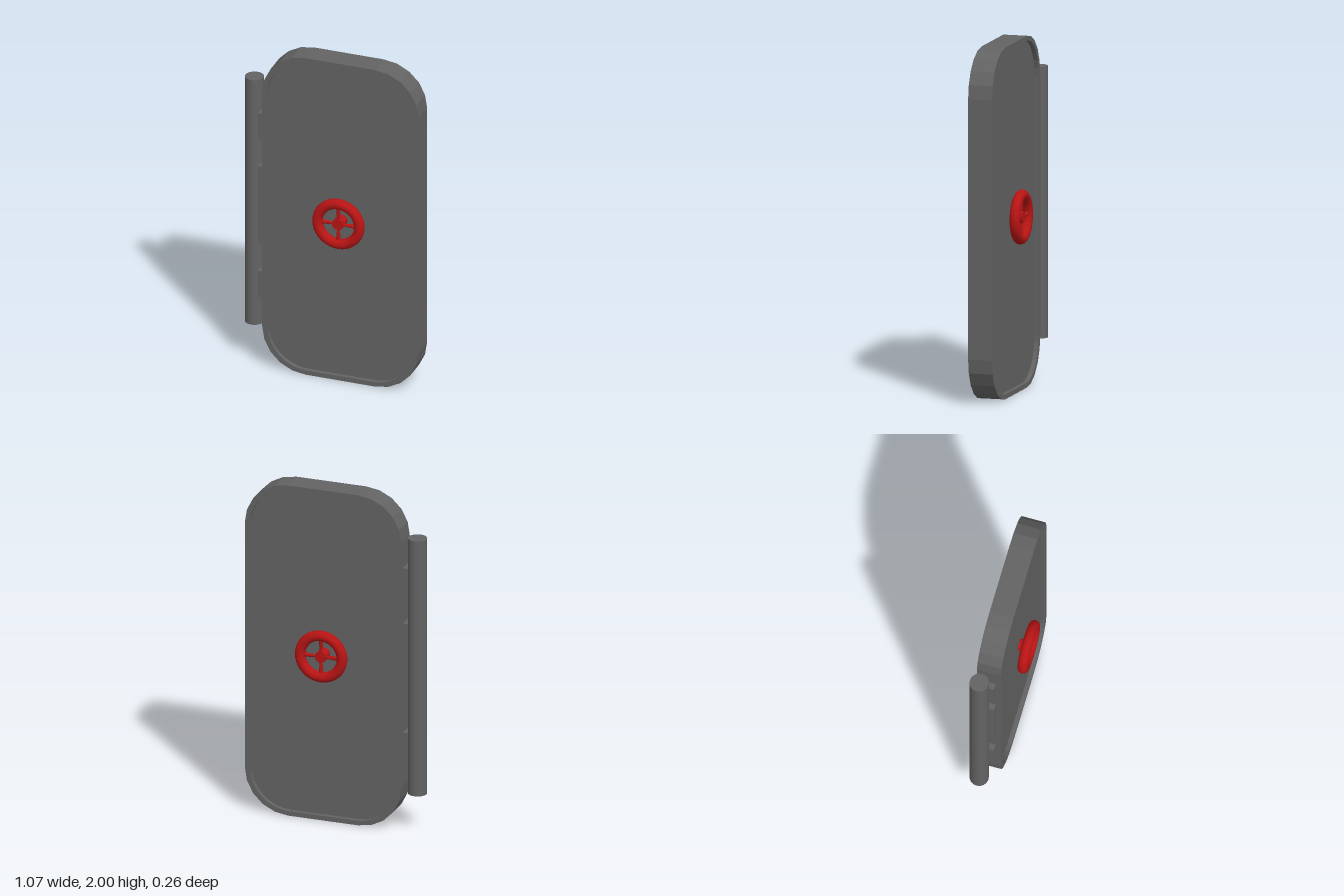
import * as THREE from 'three';

const steel = new THREE.MeshStandardMaterial({ color: 0x636363 });
const red = new THREE.MeshStandardMaterial({ color: 0xb81414 });
const CX = 0.067, CY = 1, HALF_DEPTH = 0.07, PANEL_Z = 0.045;

function add(parent, name, geometry, material, x = 0, y = 0, z = 0) {
  const mesh = new THREE.Mesh(geometry, material);
  mesh.name = name;
  mesh.position.set(x, y, z);
  parent.add(mesh);
  return mesh;
}

// Faceted rounded rectangle, counter-clockwise, centred on the origin
function roundedPoints(w, h, r, segments) {
  const points = [];
  const corners = [[1, 1], [-1, 1], [-1, -1], [1, -1]];
  corners.forEach(([sx, sy], q) => {
    for (let i = 0; i <= segments; i++) {
      const a = (q + i / segments) * Math.PI / 2;
      points.push(new THREE.Vector2(
        sx * (w / 2 - r) + r * Math.cos(a),
        sy * (h / 2 - r) + r * Math.sin(a)));
    }
  });
  return points;
}

function slab(shape, halfDepth) {
  return new THREE.ExtrudeGeometry(shape, { depth: halfDepth * 2, bevelEnabled: false })
    .translate(0, 0, -halfDepth);
}

// Handwheel facing +z, its origin on the middle plane of the door
function makeHandwheel(name) {
  const wheel = new THREE.Group();
  wheel.name = name;
  add(wheel, 'wheelRim', new THREE.TorusGeometry(0.125, 0.03, 16, 40), red, 0, 0, 0.1);
  const hub = new THREE.CylinderGeometry(0.034, 0.034, 0.07, 20).rotateX(Math.PI / 2);
  add(wheel, 'wheelHub', hub, red, 0, 0, 0.077);
  // Spokes flare towards the rim
  for (let i = 0; i < 4; i++) {
    const spoke = new THREE.CylinderGeometry(0.014, 0.007, 0.09, 10)
      .translate(0, 0.067, 0).rotateZ(i * Math.PI / 2);
    add(wheel, 'wheelSpoke', spoke, red, 0, 0, 0.1);
  }
  return wheel;
}

export function createModel() {
  const model = new THREE.Group();
  model.name = 'hatchDoor';

  // Raised frame around a recessed panel
  const inner = roundedPoints(0.873, 1.945, 0.235, 8);
  const frame = new THREE.Shape(roundedPoints(0.935, 2, 0.26, 5));
  frame.holes.push(new THREE.Path(inner));
  add(model, 'doorFrame', slab(frame, HALF_DEPTH), steel, CX, CY);
  add(model, 'doorPanel', slab(new THREE.Shape(inner), PANEL_Z), steel, CX, CY);

  // Hinge post and the blocks joining it to the door
  add(model, 'hingePost', new THREE.CylinderGeometry(0.054, 0.054, 1.545, 32),
    steel, -0.485, 1.003, -0.033);
  for (const [y, h] of [[1.502, 0.165], [1.005, 0.49], [0.507, 0.165]]) {
    add(model, 'hingeBlock', new THREE.BoxGeometry(0.05, h, 0.085), steel, -0.413, y, -0.003);
  }

  // A handwheel on each face
  for (const [name, turn] of [['frontHandwheel', 0], ['backHandwheel', Math.PI]]) {
    const wheel = makeHandwheel(name);
    wheel.position.set(CX, 1.005, 0);
    wheel.rotation.y = turn;
    model.add(wheel);
  }
  return model;
}
